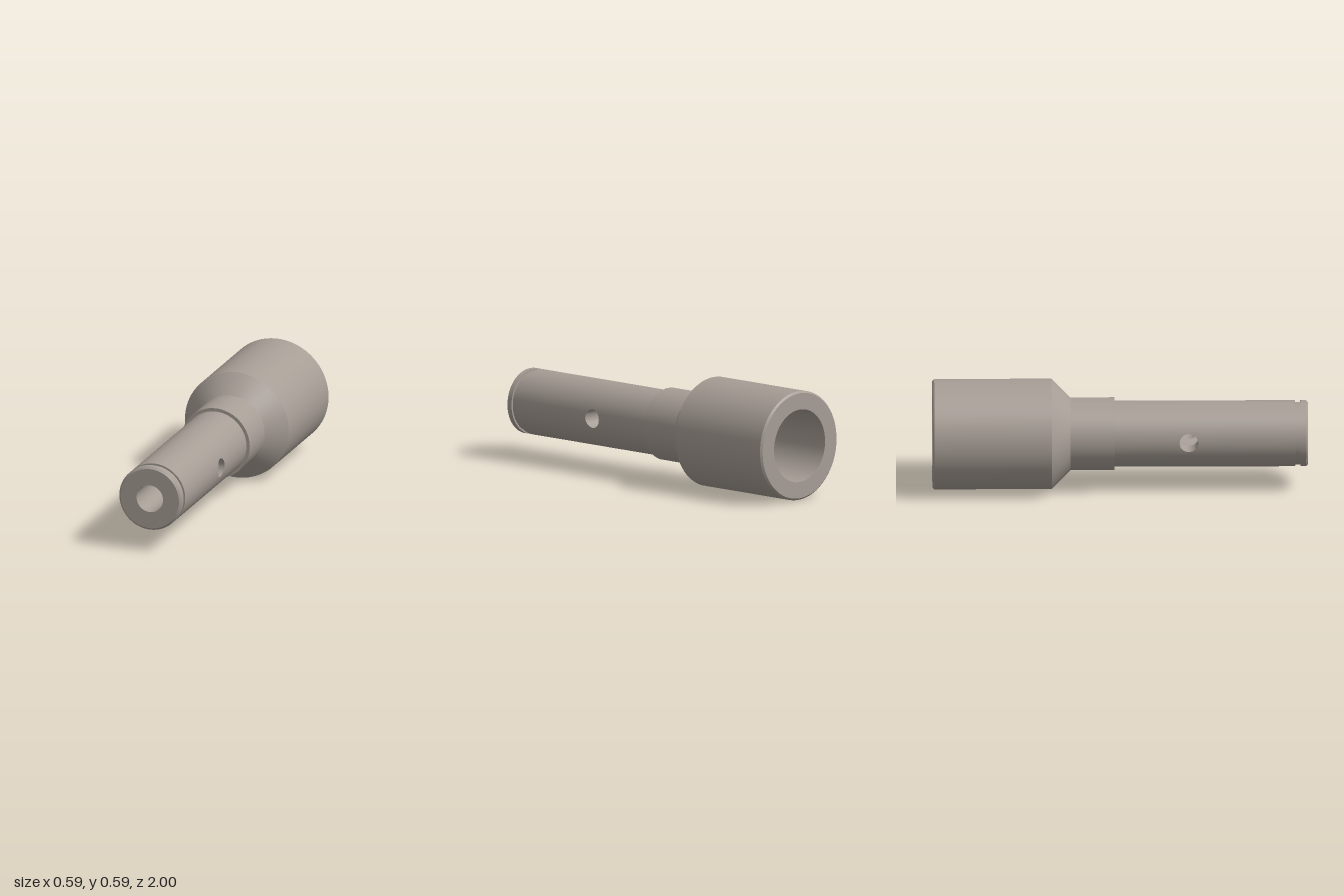
import * as THREE from 'three';
import { mergeGeometries } from 'three/addons/utils/BufferGeometryUtils.js';

const SEGMENTS = 64;
const AXIS_Y = 0.294;
const SHAFT_R = 0.176, BORE_R = 0.075;
const HOLE_Z = 0.365, HOLE_R = 0.05, BAND = 0.1; // cross hole and the half length of its band

// Revolves a [radius, z] profile about z, one strip per step so every edge stays sharp
function turned(profile) {
  const strips = [];
  for (let i = 0; i < profile.length - 1; i++) {
    const pair = [profile[i], profile[i + 1]].map(([r, z]) => new THREE.Vector2(r, z));
    strips.push(new THREE.LatheGeometry(pair, SEGMENTS).rotateX(Math.PI / 2));
  }
  return mergeGeometries(strips);
}

// Skins closed rings given by point(u, t), u from 0 to 1 and t around the ring
function loft(point, rings) {
  const around = SEGMENTS * 2, position = [], index = [];
  for (let i = 0; i <= rings; i++)
    for (let j = 0; j < around; j++)
      position.push(...point(i / rings, (j / around) * Math.PI * 2));
  for (let i = 0; i < rings; i++)
    for (let j = 0; j < around; j++) {
      const k = (j + 1) % around;
      const a = i * around + j, b = i * around + k;
      const c = a + around, d = b + around;
      index.push(a, c, b, b, c, d);
    }
  const geometry = new THREE.BufferGeometry();
  geometry.setAttribute('position', new THREE.Float32BufferAttribute(position, 3));
  geometry.setIndex(index);
  geometry.computeVertexNormals();
  return geometry;
}

// Trapezoid wave that walks evenly along the sides of a square, from -1 to 1
const side = (wave) => THREE.MathUtils.clamp((Math.asin(wave) * 4) / Math.PI, -1, 1);

// Point on a half cylinder: u = 0 on the hole's rim, u = 1 on the band's border
function halfBand(radius, u, t) {
  const rimAngle = Math.asin((HOLE_R * Math.sin(t)) / radius);
  const angle = THREE.MathUtils.lerp(rimAngle, (Math.PI / 2) * side(Math.sin(t)), u);
  const z = THREE.MathUtils.lerp(HOLE_R * Math.cos(t), BAND * side(Math.cos(t)), u);
  return [radius * Math.cos(angle), radius * Math.sin(angle), HOLE_Z + z];
}

// Half cylinder with the hole in it, with radial normals so it blends into the shaft
function skin(radius, facing) {
  const geometry = loft((u, t) => halfBand(radius, facing > 0 ? 1 - u : u, t), 16);
  const { position, normal } = geometry.attributes;
  for (let i = 0; i < position.count; i++)
    normal.setXYZ(i, (facing * position.getX(i)) / radius, (facing * position.getY(i)) / radius, 0);
  return geometry;
}

export function createModel() {
  const model = new THREE.Group();
  const body = new THREE.Group();
  body.name = 'socketAdapter';
  body.position.y = AXIS_Y;
  model.add(body);
  const material = new THREE.MeshStandardMaterial({ color: 0xa69d95 });
  const add = (name, geometry) => {
    const mesh = new THREE.Mesh(geometry, material);
    mesh.name = name;
    body.add(mesh);
    return mesh;
  };

  // Wide socket with chamfered mouth, tapered shoulder and collar
  add('socket', turned([
    [0.196, -1], [0.284, -1], [0.294, -0.99], [0.294, -0.365], [0.194, -0.265],
    [0.194, -0.03], [SHAFT_R, -0.03],
  ]));

  // Blind socket bore with a conical floor leading into the narrow bore
  add('socketBore', turned([[BORE_R, -0.53], [0.196, -0.6], [0.196, -1]]));

  // Shaft and narrow bore behind the cross hole
  add('shaft', turned([[SHAFT_R, -0.03], [SHAFT_R, HOLE_Z - BAND]]));
  add('shaftBore', turned([[BORE_R, HOLE_Z - BAND], [BORE_R, -0.53]]));

  // Shaft tip with retaining groove, chamfer and bore mouth
  add('shaftTip', turned([
    [SHAFT_R, HOLE_Z + BAND], [SHAFT_R, 0.932], [0.166, 0.932], [0.166, 0.96],
    [SHAFT_R, 0.96], [SHAFT_R, 0.99], [0.165, 1], [BORE_R, 1], [BORE_R, HOLE_Z + BAND],
  ]));

  // Band pierced by the cross hole: outer skin, hole wall and bore skin, on both sides
  const pierced = mergeGeometries([
    skin(SHAFT_R, 1),
    loft((u, t) => {
      const outer = halfBand(SHAFT_R, 0, t), inner = halfBand(BORE_R, 0, t);
      return outer.map((v, i) => THREE.MathUtils.lerp(v, inner[i], u));
    }, 2),
    skin(BORE_R, -1),
  ]);
  add('crossHoleLeft', pierced);
  add('crossHoleRight', pierced).rotation.z = Math.PI;

  return model;
}
